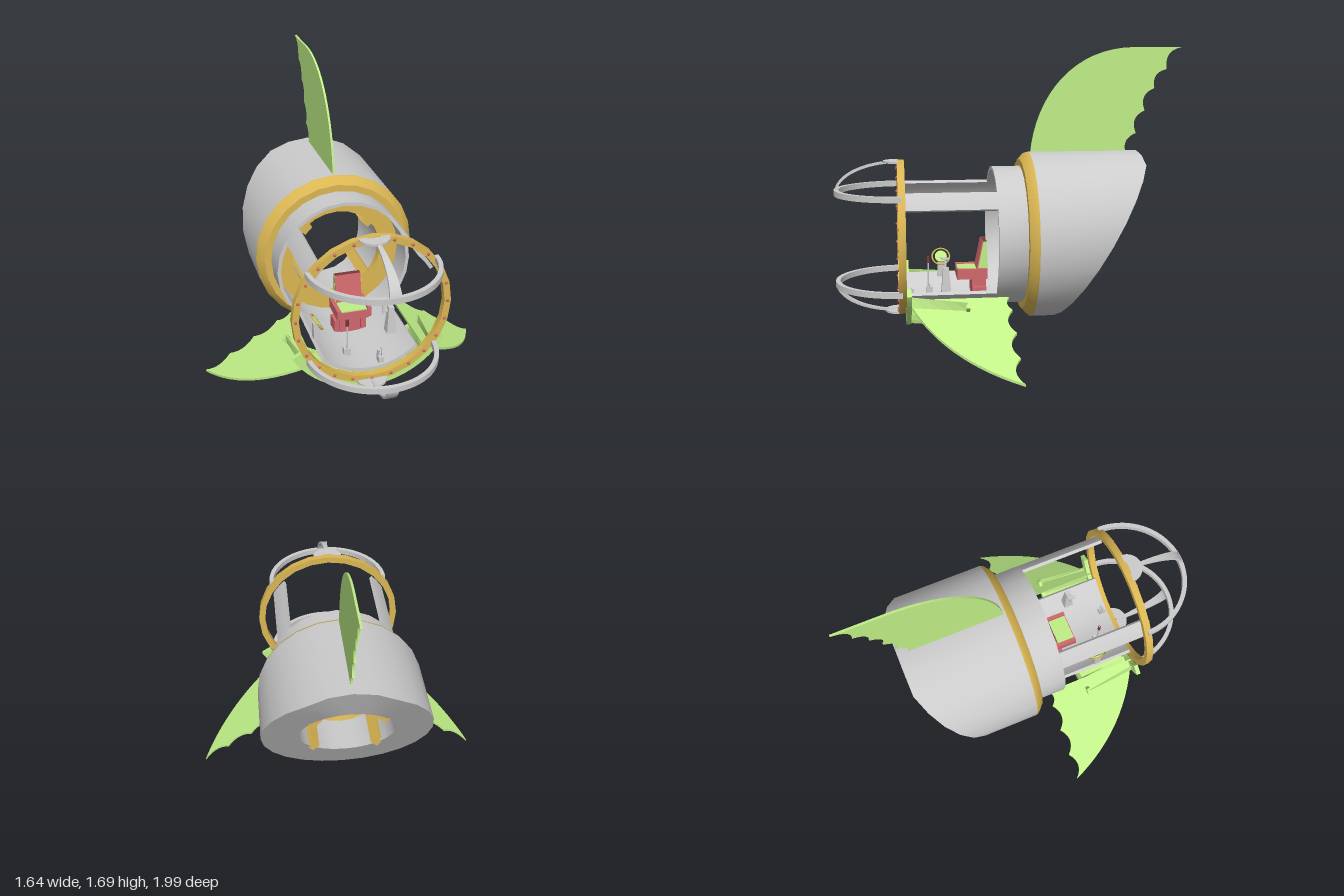
import * as THREE from 'three';
import { toCreasedNormals } from 'three/addons/utils/BufferGeometryUtils.js';

const CY = 0.628; // height of the hull axis
const mat = (color, extra = {}) => new THREE.MeshStandardMaterial({ color, ...extra });
const grey = mat(0xcccccc);
const green = mat(0xc0ef87);
const gold = mat(0xdab653);
const red = mat(0xd0686d);
const dark = mat(0x7a3a3a);
const greenFolds = mat(0xc0ef87, { flatShading: true, side: THREE.DoubleSide });

// Apply a rule to every vertex, then rebuild normals with sharp edges kept
function warp(geo, rule) {
  const p = geo.attributes.position, v = new THREE.Vector3();
  for (let i = 0; i < p.count; i++) {
    rule(v.fromBufferAttribute(p, i));
    p.setXYZ(i, v.x, v.y, v.z);
  }
  geo.computeVertexNormals();
  return toCreasedNormals(geo, 0.6);
}

// Ring about the z axis from a counter-clockwise (radius, z) profile
function ring(profile, segments = 24) {
  const pts = [...profile, profile[0]].map(([r, z]) => new THREE.Vector2(r, z));
  return new THREE.LatheGeometry(pts, segments).rotateX(Math.PI / 2).translate(0, CY, 0);
}
const tube = (r0, r1, z0, z1) => [[r1, z0], [r1, z1], [r0, z1], [r0, z0]];

// Flat curved bar: part of a ring, pushed along z
function sector(r0, r1, a0, a1, depth, steps = 8) {
  const s = new THREE.Shape();
  s.absarc(0, 0, r1, a0, a1, false);
  s.absarc(0, 0, r0, a1, a0, true);
  return new THREE.ExtrudeGeometry(s, { depth, bevelEnabled: false, curveSegments: steps });
}

// Bat-wing trailing edge: inward curves between cusps
function scallop(shape, cusps, k) {
  for (let i = 1; i < cusps.length; i++) {
    const [ax, ay] = cusps[i - 1], [bx, by] = cusps[i];
    shape.quadraticCurveTo((ax + bx) / 2 + (by - ay) * k, (ay + by) / 2 - (bx - ax) * k, bx, by);
  }
}

export function createModel() {
  const model = new THREE.Group();
  const add = (name, geo, material, x = 0, y = 0, z = 0, parent = model) => {
    const m = new THREE.Mesh(geo, material);
    m.name = name;
    m.position.set(x, y, z);
    parent.add(m);
    return m;
  };
  const box = (name, w, h, d, material, x, y, z, parent) =>
    add(name, new THREE.BoxGeometry(w, h, d), material, x, y, z, parent);
  const deg = Math.PI / 180;

  // Thick rear hull, cut off at a slant
  const slant = (y) => Math.max(-0.73, -0.22 - (y - 0.155) * 0.576);
  add('hull', warp(ring(tube(0.265, 0.473, -0.3, -0.1)), (v) => {
    if (v.z < -0.2) v.z = slant(v.y);
  }), grey);
  add('hullRim', toCreasedNormals(ring([[0.473, -0.1], [0.468, -0.085], [0.43, -0.05],
    [0.265, -0.05], [0.265, -0.1]]), 0.6), gold);
  add('collar', toCreasedNormals(ring(tube(0.372, 0.392, -0.06, 0.11)), 0.6), grey);

  // Beams inside the hull
  for (const sx of [-1, 1]) for (const sy of [-1, 1]) {
    const y = CY + sy * 0.18, end = slant(y) + 0.005, len = -0.05 - end;
    const beam = box('innerBeam', 0.06, 0.05, len, gold, sx * 0.185, y, end + len / 2);
    beam.rotation.z = -sx * sy * 45 * deg;
  }

  // Cockpit: curved floor, two side rails, front ring with rivets
  add('floor', toCreasedNormals(sector(0.372, 0.392, 226 * deg, 314 * deg, 0.5), 0.6), grey, 0, CY, 0.11);
  for (const a of [30, 134]) {
    add('sideRail', toCreasedNormals(sector(0.372, 0.392, a * deg, (a + 16) * deg, 0.5, 2), 0.6), grey, 0, CY, 0.11);
  }
  add('frontRing', toCreasedNormals(ring(tube(0.4, 0.437, 0.605, 0.645)), 0.6), gold);
  for (let i = 0; i < 24; i++) {
    const a = i * 15 * deg;
    add('rivet', new THREE.SphereGeometry(0.009, 8, 6), red, Math.cos(a) * 0.418, CY + Math.sin(a) * 0.418, 0.645);
  }

  // Nose frame: half hoop, tapered spine and pad, above and below
  for (const s of [1, -1]) {
    const frame = new THREE.Group();
    frame.name = s > 0 ? 'upperNoseFrame' : 'lowerNoseFrame';
    frame.position.y = CY;
    frame.scale.y = s;
    model.add(frame);
    const hoop = sector(0.335, 0.36, 0, Math.PI, 0.032, 28).rotateX(Math.PI / 2).scale(1, 1, 1.03);
    add('noseHoop', toCreasedNormals(hoop, 0.6), grey, 0, 0.274, 0.625, frame);
    const spine = warp(new THREE.BoxGeometry(1, 0.014, 1, 1, 1, 16), (v) => {
      const t = v.z + 0.5, a = t * Math.PI / 2, h = v.y;
      v.x *= 0.014 + 0.055 * t;
      v.y = 0.252 + (0.173 + h) * Math.cos(a);
      v.z = 0.635 + (0.352 + h) * Math.sin(a);
    });
    add('noseSpine', spine, grey, 0, 0, 0, frame);
    add('spinePad', new THREE.CylinderGeometry(0.085, 0.085, 0.012, 16, 1, false, -Math.PI / 2, Math.PI),
      grey, 0, 0.426, 0.635, frame);
  }

  // Top fin
  const top = new THREE.Shape();
  top.moveTo(0.11, 1.08);
  top.bezierCurveTo(0.14, 1.42, 0.36, 1.69, 0.72, 1.69);
  top.lineTo(0.99, 1.69);
  scallop(top, [[0.99, 1.69], [0.9, 1.565], [0.83, 1.457], [0.775, 1.33], [0.726, 1.2], [0.67, 1.08]], 0.5);
  add('topFin', new THREE.ExtrudeGeometry(top, { depth: 0.012, bevelEnabled: false, curveSegments: 16 })
    .rotateY(Math.PI / 2), green, -0.006);

  // Side fins, sloping down and outward
  const side = new THREE.Shape();
  side.moveTo(0.31, 0.6);
  side.quadraticCurveTo(0.66, 0.44, 0.82, 0.03);
  scallop(side, [[0.82, 0.03], [0.675, 0.035], [0.53, 0.035], [0.39, 0.04], [0.31, 0.05]], 0.5);
  const finGeo = warp(new THREE.ExtrudeGeometry(side, { depth: 0.014, bevelEnabled: false, curveSegments: 14 })
    .rotateX(Math.PI / 2), (v) => { v.y += 0.315 - (v.x - 0.34) * 0.627; });
  add('leftFin', finGeo, green);
  add('rightFin', finGeo, green).scale.x = -1;

  // Pleated skirt under the cockpit, held by two bands
  add('skirtFrontBand', sector(0.437, 0.497, 210 * deg, 330 * deg, 0.025, 14), green, 0, CY, 0.58);
  add('skirtRearBand', sector(0.487, 0.527, 218 * deg, 322 * deg, 0.02, 14), green, 0, CY, 0.27);
  const pleats = new THREE.PlaneGeometry(1, 1, 24, 4);
  warp(pleats, (v) => {
    const fold = Math.round((v.x + 0.5) * 24) % 2, t = 0.5 - v.y;
    const a = (270 + v.x * 106) * deg;
    const r = 0.445 + 0.05 * t + fold * (0.045 - 0.02 * t);
    v.set(Math.cos(a) * r, CY + Math.sin(a) * r, 0.59 - t * 0.31);
  });
  add('skirtPleats', pleats, greenFolds);

  // Seat
  const seat = new THREE.Group();
  seat.name = 'seat';
  model.add(seat);
  box('seatBase', 0.12, 0.14, 0.08, red, 0, 0.32, 0.19, seat);
  box('seatCushion', 0.17, 0.05, 0.17, red, 0, 0.41, 0.23, seat);
  box('cushionTop', 0.15, 0.01, 0.16, green, 0, 0.437, 0.23, seat);
  const back = new THREE.Shape([[0.14, 0.43], [0.2, 0.43], [0.165, 0.6], [0.145, 0.6]]
    .map(([z, y]) => new THREE.Vector2(-z, y)));
  add('seatBack', new THREE.ExtrudeGeometry(back, { depth: 0.154, bevelEnabled: false }).rotateY(Math.PI / 2),
    green, -0.077, 0, 0, seat);
  box('backPanel', 0.152, 0.17, 0.008, red, 0, 0.515, 0.185, seat).rotation.x = -11.6 * deg;
  box('headTrim', 0.15, 0.006, 0.02, dark, 0, 0.6, 0.157, seat);
  for (const s of [-1, 1]) {
    box('armrest', 0.022, 0.055, 0.17, red, s * 0.09, 0.42, 0.23, seat);
    box('seatFoot', 0.03, 0.08, 0.08, red, s * 0.08, 0.3, 0.19, seat);
  }

  // Dial with rim on a stand, at one side
  const dial = new THREE.Group();
  dial.name = 'dial';
  dial.position.set(-0.24, 0.455, 0.39);
  dial.rotation.z = -55 * deg;
  model.add(dial);
  add('dialFace', new THREE.CylinderGeometry(0.036, 0.036, 0.012, 16), green, 0, 0, 0, dial);
  add('dialRim', new THREE.TorusGeometry(0.052, 0.005, 6, 20).rotateX(Math.PI / 2), gold, 0, 0, 0, dial);
  box('dialStand', 0.035, 0.12, 0.04, grey, -0.245, 0.39, 0.39);

  // Console with a handle, at the other side
  const console_ = new THREE.CylinderGeometry(0.022, 0.04, 0.16, 4, 1).rotateY(Math.PI / 4);
  add('console', toCreasedNormals(console_, 0.6), grey, 0.19, 0.4, 0.385);
  box('consoleArm', 0.05, 0.012, 0.012, grey, 0.165, 0.455, 0.385);
  box('consoleHandle', 0.01, 0.08, 0.01, grey, 0.147, 0.48, 0.385);
  box('handleGrip', 0.022, 0.01, 0.045, grey, 0.142, 0.52, 0.385);

  // Floor levers
  box('leverBase', 0.04, 0.05, 0.035, grey, -0.09, 0.285, 0.465);
  add('lever', new THREE.CylinderGeometry(0.005, 0.005, 0.2, 8), grey, -0.09, 0.39, 0.472);
  add('leverKnob', new THREE.CylinderGeometry(0.009, 0.009, 0.04, 8), dark, -0.09, 0.47, 0.472);
  box('pedalBase', 0.03, 0.04, 0.04, grey, 0.07, 0.275, 0.575);
  for (const s of [-1, 1]) {
    box('pedal', 0.012, 0.045, 0.012, grey, 0.07 + s * 0.012, 0.315, 0.57).rotation.x = -s * 0.3;
  }
  return model;
}
